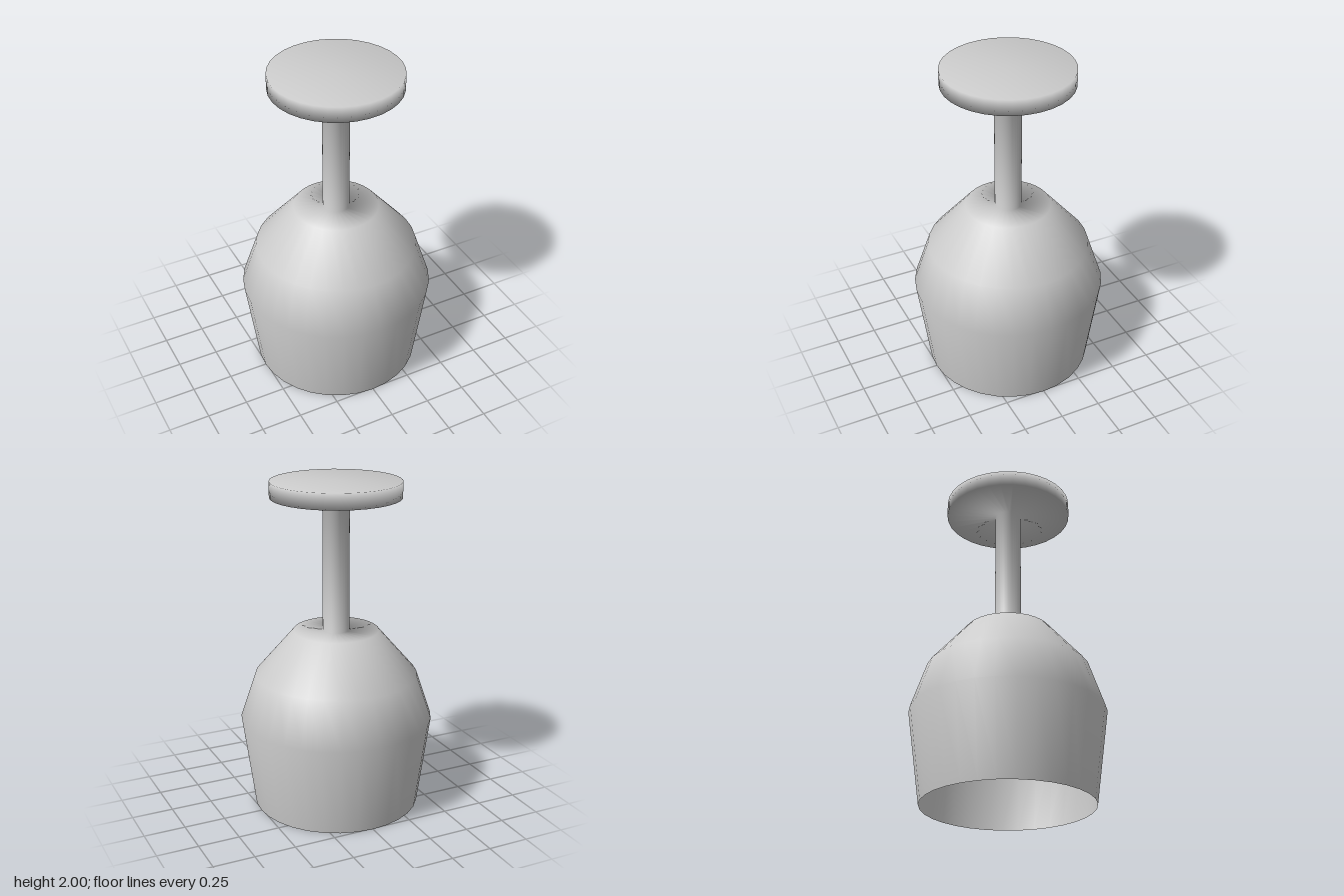
import * as THREE from 'three';

const SIDES = 32;

// Radius and height, from the open rim at the floor up to the upturned foot
const PROFILE = [
  [0.508, 0], [0.583, 0.555], [0.49, 0.83], [0.257, 1.1], // bowl
  [0.08, 1.1], [0.08, 1.905],                             // stem
  [0.387, 1.905], [0.387, 2], [0, 2],                     // foot
].map(([r, y]) => new THREE.Vector2(r, y));

// Keep only the bands of the turned surface between two profile points,
// so that the parts share smooth normals where they meet
function bands(lathe, first, last) {
  const rows = PROFILE.length - 1;
  const kept = Array.from(lathe.index.array).filter((_, k) => {
    const row = Math.floor(k / 6) % rows;
    return row >= first && row < last;
  });
  const geometry = lathe.clone();
  geometry.setIndex(kept);
  return geometry;
}

export function createModel() {
  const glass = new THREE.Group();
  glass.name = 'upturnedWineGlass';
  const material = new THREE.MeshStandardMaterial({ color: 0xcccccc, side: THREE.DoubleSide });
  const lathe = new THREE.LatheGeometry(PROFILE, SIDES);

  // Thin open bowl with its flat shoulder, slender stem, round foot
  for (const [name, first, last] of [['bowl', 0, 4], ['stem', 4, 5], ['foot', 5, 8]]) {
    const part = new THREE.Mesh(bands(lathe, first, last), material);
    part.name = name;
    glass.add(part);
  }
  return glass;
}
